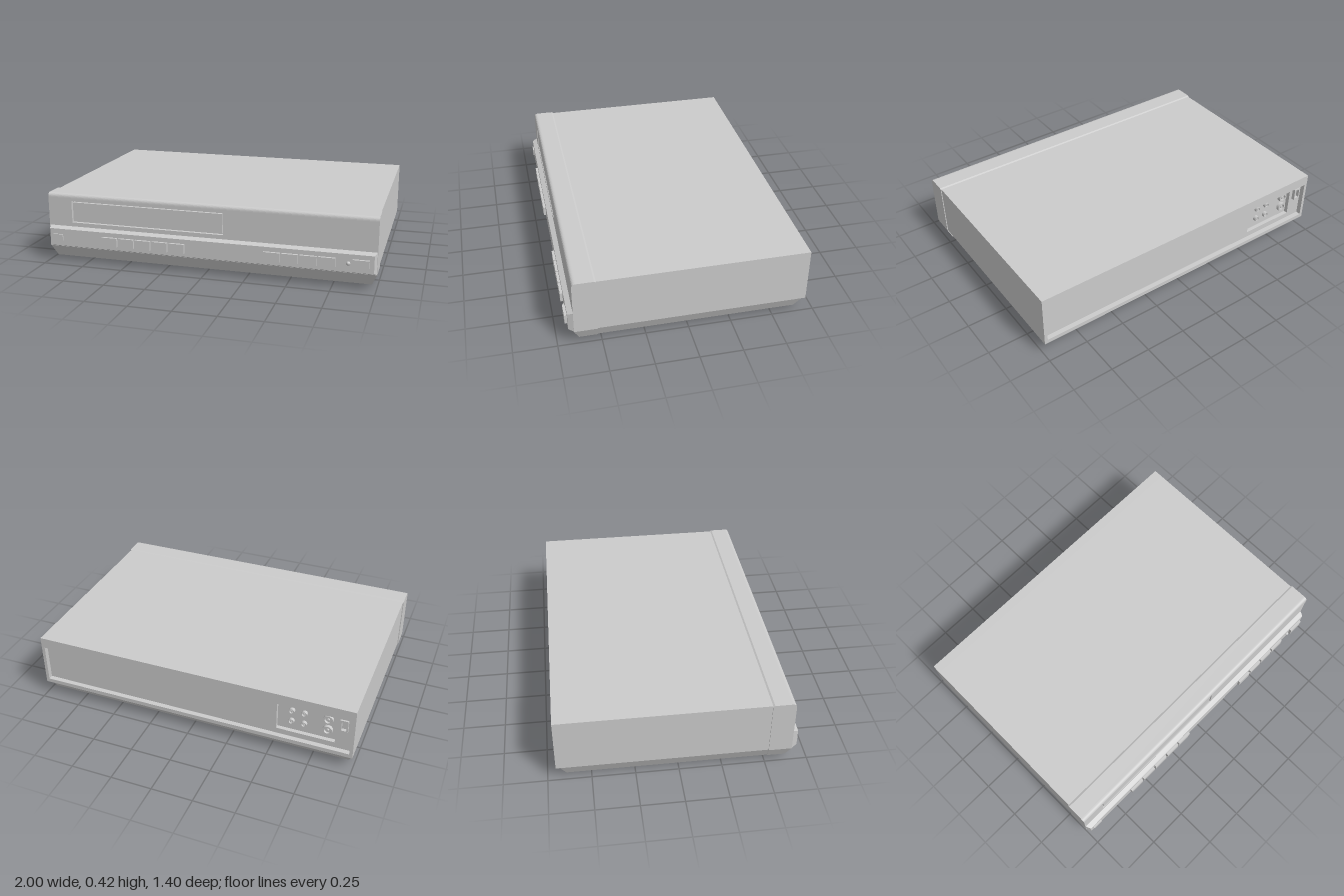
import * as THREE from 'three';

export function createModel() {
  const model = new THREE.Group();
  const material = new THREE.MeshStandardMaterial({ color: 0xcccccc });

  function add(name, geometry, parent = model) {
    const mesh = new THREE.Mesh(geometry, material);
    mesh.name = name;
    parent.add(mesh);
    return mesh;
  }

  function group(name) {
    const g = new THREE.Group();
    g.name = name;
    model.add(g);
    return g;
  }

  // Box given by its limits; move(p) may shift each corner to taper it
  function block(x0, x1, y0, y1, z0, z1, move) {
    const geo = new THREE.BoxGeometry(x1 - x0, y1 - y0, z1 - z0);
    geo.translate((x0 + x1) / 2, (y0 + y1) / 2, (z0 + z1) / 2);
    if (move) {
      const pos = geo.attributes.position;
      const p = new THREE.Vector3();
      for (let i = 0; i < pos.count; i++) {
        move(p.fromBufferAttribute(pos, i));
        pos.setXYZ(i, p.x, p.y, p.z);
      }
      geo.computeVertexNormals();
    }
    return geo;
  }

  const rect = (x0, x1, y0, y1, Type = THREE.Shape) => new Type([
    new THREE.Vector2(x0, y0), new THREE.Vector2(x1, y0),
    new THREE.Vector2(x1, y1), new THREE.Vector2(x0, y1)]);

  // Upright plate with a rectangular opening
  function plate(outer, hole, z0, z1) {
    const shape = rect(...outer);
    shape.holes.push(rect(...hole, THREE.Path));
    const geo = new THREE.ExtrudeGeometry(shape, { depth: z1 - z0, bevelEnabled: false });
    return geo.translate(0, 0, z0);
  }

  // Main case: core plus two rear layers that form the stepped recess
  const W = 0.995, bottom = 0.085, top = 0.415;
  add('caseCore', block(-W, W, bottom, top, -0.645, 0.525));
  add('rearPanel', plate([-W, W, bottom, top], [-0.88, -0.53, 0.145, 0.345], -0.67, -0.645));
  add('rearFrame', plate([-W, W, bottom, top], [-0.975, 0.975, 0.11, 0.348], -0.7, -0.67));

  // Tapered base, with a slightly wider section under the fascia
  const low = 0.017;
  add('base', block(-W, W, low, bottom, -0.675, 0.525, p => {
    if (p.y < 0.05) {
      p.x *= 0.97;
      if (p.z < 0) p.z += 0.033;
    }
  }));
  add('fasciaBase', block(-1, 1, low, bottom, 0.52, 0.655, p => {
    if (p.y < 0.05) {
      p.x *= 0.97;
      if (p.z > 0.6) p.z -= 0.03;
    }
  }));

  // Feet
  const feet = group('feet');
  for (const x of [-0.815, 0.815]) {
    for (const z of [-0.485, 0.365]) {
      add('foot', block(x - 0.055, x + 0.055, 0, low + 0.002, z - 0.057, z + 0.057, p => {
        if (p.y < 0.01) {
          p.x = x + (p.x - x) * 0.88;
          p.z = z + (p.z - z) * 0.88;
        }
      }), feet);
    }
  }

  // Fascia: side profile with rounded upper edge, swept across the width
  const profile = new THREE.Shape();
  profile.moveTo(0.52, bottom);
  profile.lineTo(0.635, bottom);
  profile.lineTo(0.635, 0.395);
  profile.lineTo(0.655, 0.395);
  profile.quadraticCurveTo(0.655, 0.42, 0.63, 0.42);
  profile.lineTo(0.53, 0.42);
  profile.lineTo(0.52, 0.415);
  const fascia = new THREE.ExtrudeGeometry(profile, { depth: 2, bevelEnabled: false, curveSegments: 8 });
  fascia.rotateY(-Math.PI / 2).translate(1, 0, 0);
  add('fascia', fascia);
  add('fasciaFront', plate([-1, 1, bottom, 0.395], [-0.848, 0.108, 0.243, 0.377], 0.635, 0.655));
  add('cassetteDoor', block(-0.84, 0.1, 0.251, 0.369, 0.634, 0.652));

  // Control strip with bevelled border
  add('controlStrip', block(-1, 1, bottom, 0.22, 0.65, 0.685, p => {
    if (p.z > 0.67) {
      p.x *= 0.985;
      p.y += p.y > 0.15 ? -0.015 : 0.015;
    }
  }));

  // Front buttons and indicator
  const buttons = group('buttons');
  const button = (name, x0, x1, y0, y1, z) => add(name, block(x0, x1, y0, y1, 0.68, z), buttons);
  for (let i = 0; i < 5; i++) {
    const x = -0.64 + i * 0.106;
    button('transportButton', x, x + 0.096, 0.122, 0.178, 0.7);
  }
  for (let i = 0; i < 4; i++) {
    const x = 0.355 + i * 0.106;
    button('functionButton', x, x + 0.096, 0.122, 0.178, 0.7);
  }
  button('powerButton', 0.865, 0.96, 0.122, 0.178, 0.7);
  button('ejectButton', -0.965, -0.9, 0.134, 0.172, 0.692);
  const lamp = new THREE.SphereGeometry(0.012, 16, 10);
  add('indicatorLamp', lamp, buttons).position.set(0.84, 0.151, 0.685);

  // Rear sockets: raised ring with centre pin
  function jack(name, x, y, r) {
    const g = new THREE.Group();
    g.name = name;
    const points = [[r, 0], [r, 0.02], [r * 0.65, 0.02], [r * 0.65, 0.006], [r * 0.3, 0.006], [r * 0.3, 0.018], [0, 0.018]];
    // Separate rings keep every edge sharp
    for (let i = 0; i < points.length - 1; i++) {
      const pair = [points[i], points[i + 1]].map(p => new THREE.Vector2(...p));
      add('socketRing', new THREE.LatheGeometry(pair, 20), g);
    }
    g.rotation.x = -Math.PI / 2;
    g.position.set(x, y, -0.645);
    model.add(g);
  }
  for (const y of [0.21, 0.285]) {
    for (const x of [-0.615, -0.69]) jack('signalJack', x, y, 0.018);
    jack('aerialJack', -0.83, y, 0.03);
  }

  // Mains inlet
  add('mainsInlet', plate([-0.952, -0.905, 0.25, 0.33], [-0.943, -0.914, 0.26, 0.32], -0.69, -0.67));

  return model;
}
